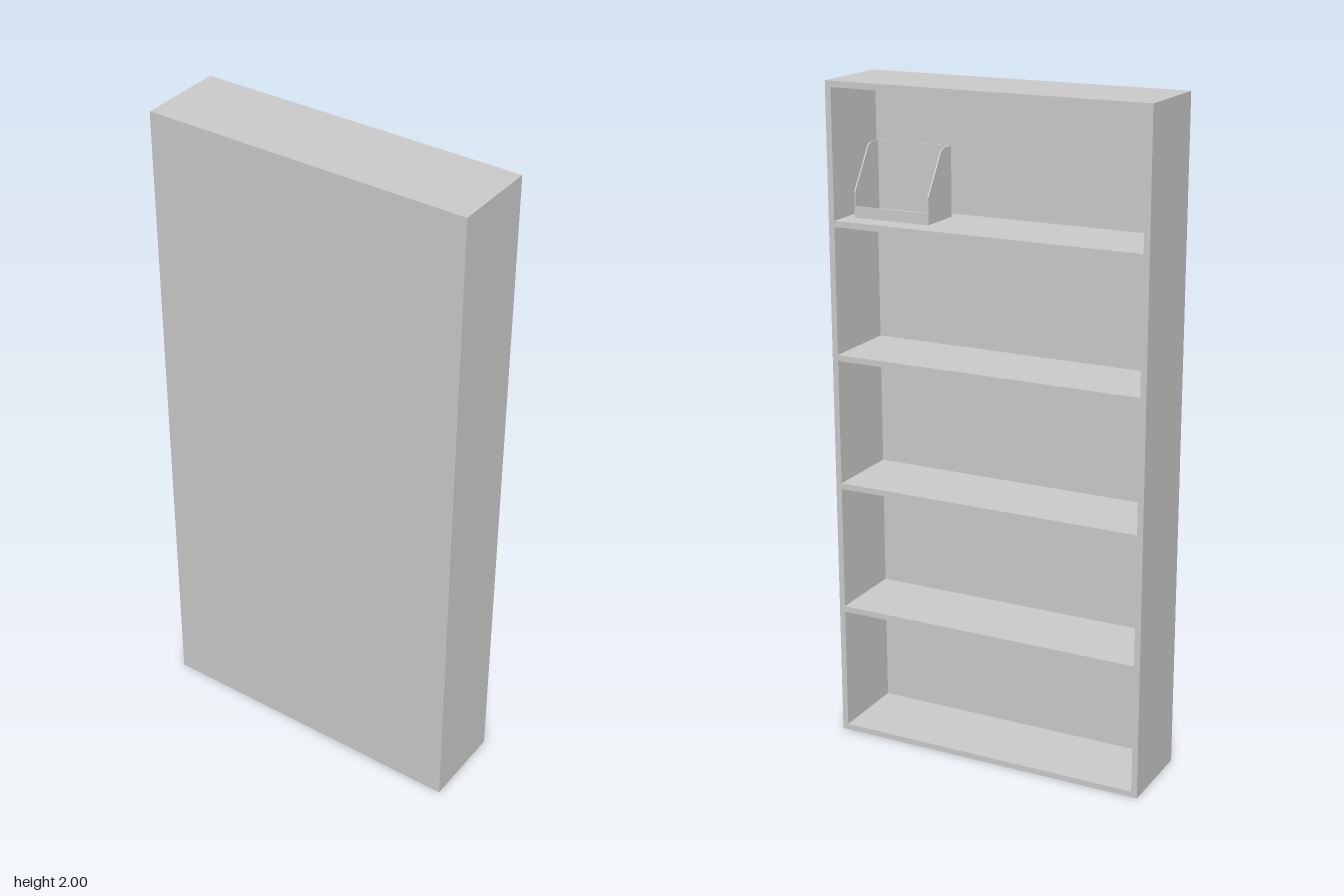
import * as THREE from 'three';

const W = 0.99, H = 2, D = 0.263; // outer size of the bookcase
const T = 0.018;                  // board thickness
const SHELVES = 4;

const material = new THREE.MeshStandardMaterial({ color: 0xcccccc, flatShading: true });

function board(parent, name, w, h, d, x, y, z) {
  const mesh = new THREE.Mesh(new THREE.BoxGeometry(w, h, d), material);
  mesh.name = name;
  mesh.position.set(x, y, z);
  parent.add(mesh);
  return mesh;
}

// Open-topped magazine holder; origin at the centre of its base, opening toward -z
function createMagazineHolder() {
  const holder = new THREE.Group();
  holder.name = 'magazineHolder';
  const w = 0.242, d = 0.137, h = 0.205, lip = 0.033, t = 0.004;

  // Side wall profile: low at the opening, sloping up to the tall wall
  const profile = new THREE.Shape([
    [0, 0], [d, 0], [d, h], [0.095, h], [0.08, 0.199], [0, 0.076],
  ].map(([z, y]) => new THREE.Vector2(z, y)));
  const sideGeometry = new THREE.ExtrudeGeometry(profile, { depth: t, bevelEnabled: false });
  sideGeometry.rotateY(-Math.PI / 2).translate(t / 2, 0, -d / 2);
  for (const [name, s] of [['holderLeftWall', 1], ['holderRightWall', -1]]) {
    const wall = new THREE.Mesh(sideGeometry, material);
    wall.name = name;
    wall.position.x = s * (w - t) / 2;
    holder.add(wall);
  }

  // Floor, tall wall and low lip between the sides
  const inner = w - 2 * t;
  board(holder, 'holderFloor', inner, t, d, 0, t / 2, 0);
  board(holder, 'holderTallWall', inner, h - t, t, 0, (h + t) / 2, (d - t) / 2);
  board(holder, 'holderLip', inner, lip - t, t, 0, (lip + t) / 2, (t - d) / 2);
  return holder;
}

export function createModel() {
  const model = new THREE.Group();
  model.name = 'bookcase';
  const innerW = W - 2 * T, innerH = H - 2 * T;

  // Outer case, closed at +z and open at -z
  board(model, 'leftSide', T, H, D, (W - T) / 2, H / 2, 0);
  board(model, 'rightSide', T, H, D, -(W - T) / 2, H / 2, 0);
  board(model, 'bottomBoard', innerW, T, D, 0, T / 2, 0);
  board(model, 'topBoard', innerW, T, D, 0, H - T / 2, 0);
  board(model, 'panel', innerW, innerH, T, 0, H / 2, (D - T) / 2);

  // Evenly spaced shelves
  const step = (innerH + T) / (SHELVES + 1);
  for (let i = 1; i <= SHELVES; i++) {
    board(model, `shelf${i}`, innerW, T, D - T, 0, T / 2 + i * step, -T / 2);
  }

  // Magazine holder on the top shelf
  const holder = createMagazineHolder();
  holder.position.set(0.328, T + SHELVES * step, 0.004);
  model.add(holder);

  return model;
}
